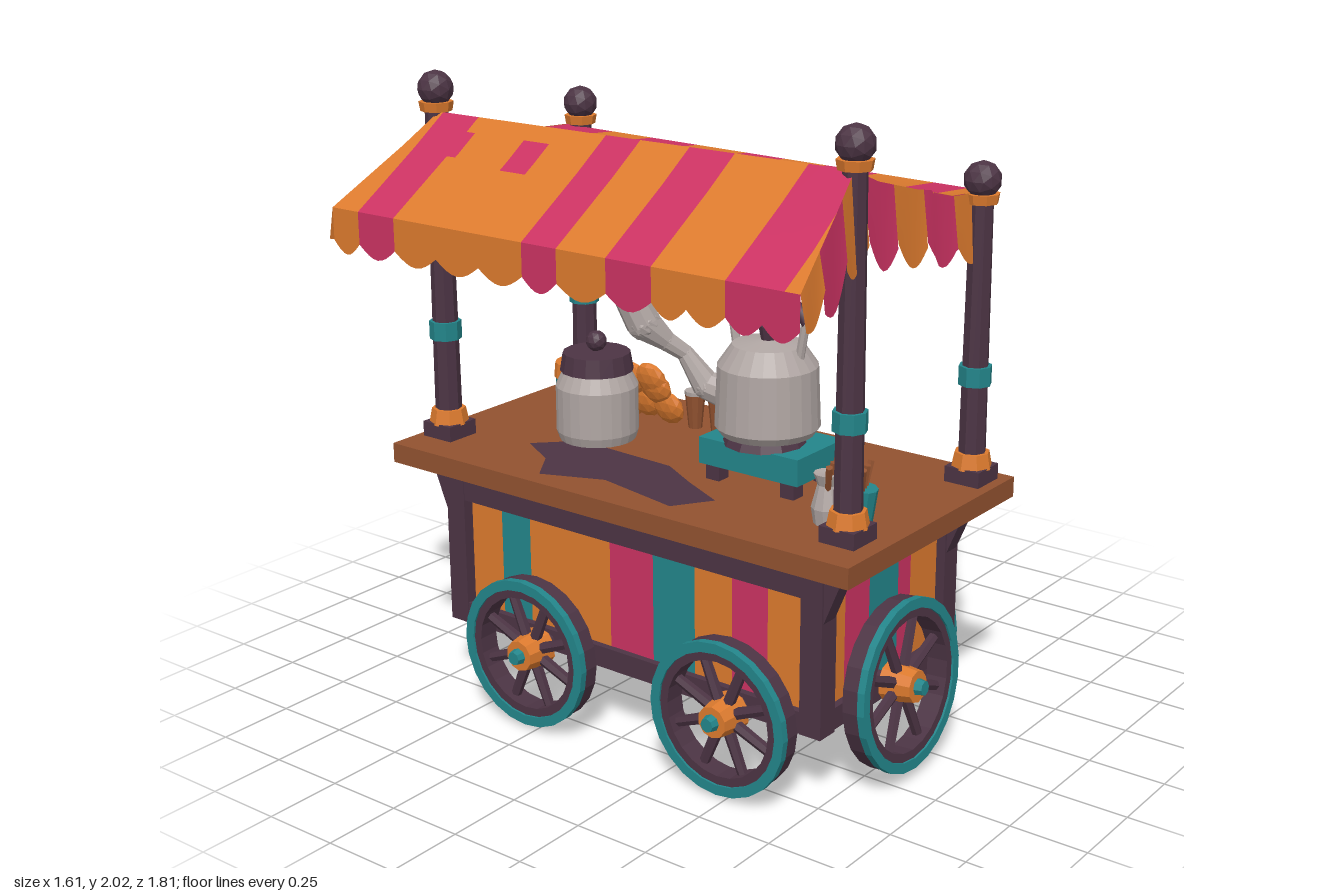
import * as THREE from 'three';

const mat = (name, color, side = THREE.FrontSide) => {
  const m = new THREE.MeshStandardMaterial({ color, side });
  m.name = name;
  return m;
};
const plum = mat('plum wood', 0x4c3444);
const wood = mat('brown wood', 0x925230);
const teal = mat('teal paint', 0x23858a);
const orange = mat('orange', 0xdc7a2e, THREE.DoubleSide);
const pink = mat('pink', 0xcb3262, THREE.DoubleSide);
const metal = mat('pale metal', 0xb0a6a3);

const V = (x, y, z) => new THREE.Vector3(x, y, z);
const flat = (g) => {
  const f = g.index ? g.toNonIndexed() : g;
  f.computeVertexNormals();
  return f;
};
function add(parent, name, geo, material, p = [0, 0, 0], r = [0, 0, 0]) {
  const m = new THREE.Mesh(geo, material);
  m.name = name;
  m.position.set(...p);
  m.rotation.set(...r);
  parent.add(m);
  return m;
}
const box = (w, h, d) => new THREE.BoxGeometry(w, h, d);
const cyl = (rt, rb, h, n = 12) => flat(new THREE.CylinderGeometry(rt, rb, h, n));
const lathe = (pts, n = 24) => flat(new THREE.LatheGeometry(pts.map((p) => new THREE.Vector2(...p)), n));
const ring = (ri, ro, h, n = 24) => lathe([[ri, -h], [ro, -h], [ro, h], [ri, h], [ri, -h]], n);
const blob = (r) => flat(new THREE.IcosahedronGeometry(r, 1));
function group(parent, name, p = [0, 0, 0], r = [0, 0, 0]) {
  const g = new THREE.Group();
  g.name = name;
  g.position.set(...p);
  g.rotation.set(...r);
  parent.add(g);
  return g;
}
// Round bar between two points
function bar(parent, name, a, b, ra, rb, material, n = 8) {
  const m = add(parent, name, cyl(rb, ra, a.distanceTo(b), n), material);
  m.position.copy(a).add(b).multiplyScalar(0.5);
  m.quaternion.setFromUnitVectors(V(0, 1, 0), b.clone().sub(a).normalize());
  return m;
}
// Open surface from rows of points
function sheet(rows) {
  const pos = [], idx = [], n = rows[0].length;
  rows.forEach((row) => row.forEach((p) => pos.push(p.x, p.y, p.z)));
  for (let i = 0; i < rows.length - 1; i++) for (let j = 0; j < n - 1; j++) {
    const a = i * n + j;
    idx.push(a, a + 1, a + n, a + 1, a + n + 1, a + n);
  }
  const g = new THREE.BufferGeometry();
  g.setAttribute('position', new THREE.Float32BufferAttribute(pos, 3));
  g.setIndex(idx);
  g.computeVertexNormals();
  return g;
}
// Linear lookup through [x, value] pairs
function lookup(table, x) {
  for (let i = 1; i < table.length; i++) {
    const [x0, v0] = table[i - 1], [x1, v1] = table[i];
    if (x <= x1 || i === table.length - 1) return v0 + (v1 - v0) * (x - x0) / (x1 - x0);
  }
}

// Spoked wheel whose outer face looks along +z
function wheel(parent, name, R, p, r) {
  const g = group(parent, name, p, r), lay = [Math.PI / 2, 0, 0];
  add(g, 'rim', ring(R - 0.055, R, 0.035), plum, [0, 0, 0], lay);
  add(g, 'tyre', ring(R - 0.028, R + 0.004, 0.012), teal, [0, 0, 0.03], lay);
  for (let i = 0; i < 8; i++) {
    const a = (i + 0.5) * Math.PI / 4, c = Math.cos(a), s = Math.sin(a);
    bar(g, 'spoke', V(c * 0.04, s * 0.04, 0), V(c * (R - 0.04), s * (R - 0.04), 0), 0.019, 0.016, plum, 6);
  }
  add(g, 'hub', cyl(0.05, 0.065, 0.1, 10), orange, [0, 0, 0.01], lay);
  add(g, 'hubCap', cyl(0.022, 0.028, 0.03, 8), teal, [0, 0, 0.07], lay);
  add(g, 'axle', cyl(0.025, 0.025, 0.1, 8), plum, [0, 0, -0.05], lay);
}

// Striped panel: boards run along local x, facing +z
function panel(parent, name, bounds, colours, p, r) {
  const g = group(parent, name, p, r);
  colours.forEach((c, i) => {
    const w = bounds[i + 1] - bounds[i];
    add(g, 'stripe', box(w, 0.39, 0.009), c, [bounds[i] + w / 2, 0.48, 0]);
  });
}

function buildCart(root) {
  const g = group(root, 'cart');
  add(g, 'core', box(0.68, 0.46, 1.38), wood, [-0.13, 0.48, 0.02]);
  add(g, 'counter', box(0.93, 0.065, 1.77), wood, [-0.115, 0.785, 0.005]);
  for (const y of [0.255, 0.7]) {
    const h = y < 0.5 ? 0.07 : 0.1;
    for (const x of [-0.475, 0.215]) add(g, 'sideRail', box(0.06, h, 1.42), plum, [x, y, 0.02]);
    for (const z of [0.72, -0.68]) add(g, 'endRail', box(0.74, h, 0.06), plum, [-0.13, y, z]);
  }
  for (const x of [-0.47, 0.21]) for (const s of [1, -1]) {
    add(g, 'cornerPost', box(0.075, 0.53, 0.075), plum, [x, 0.485, 0.02 + s * 0.7]);
    const tri = new THREE.Shape([[0, 0.75], [0, 0.58], [0.07, 0.75]].map((q) => new THREE.Vector2(...q)));
    const brace = new THREE.ExtrudeGeometry(tri, { depth: 0.06, bevelEnabled: false });
    add(g, 'bracket', brace, plum, [x + s * 0.03, 0, 0.02 + s * 0.735], [0, -s * Math.PI / 2, 0]);
  }
  const O = orange, T = teal, P = pink;
  panel(g, 'rightPanel', [-0.67, -0.52, -0.33, -0.2, 0, 0.15, 0.27, 0.42, 0.54, 0.63],
    [O, T, O, P, T, P, O, T, P], [0.218, 0, 0], [0, Math.PI / 2, 0]);
  panel(g, 'leftPanel', [-0.63, -0.5, -0.38, -0.2, -0.05, 0.12, 0.28, 0.42, 0.55, 0.67],
    [O, T, O, O, P, T, O, P, O], [-0.478, 0, 0], [0, -Math.PI / 2, 0]);
  panel(g, 'frontPanel', [-0.44, -0.34, -0.21, -0.05, 0.02, 0.18], [O, P, T, P, O], [0, 0, 0.722], [0, 0, 0]);
  panel(g, 'backPanel', [-0.18, -0.04, 0.07, 0.24, 0.34, 0.44], [O, T, O, T, P], [0, 0, -0.682], [0, Math.PI, 0]);
  for (const z of [0.47, -0.29]) {
    wheel(g, 'rightWheel', 0.24, [0.3, 0.255, z], [0, Math.PI / 2, 0]);
    wheel(g, 'leftWheel', 0.24, [-0.59, 0.25, z], [0, -Math.PI / 2, 0]);
  }
  wheel(g, 'frontWheel', 0.265, [-0.17, 0.295, 0.82], [-0.07, 0, 0]);
  // Dark stain on the counter
  const stain = new THREE.Shape([[-0.5, -0.2], [-0.38, -0.28], [-0.3, -0.12], [-0.22, 0.02], [-0.2, 0.4], [-0.32, 0.52],
    [-0.4, 0.38], [-0.52, 0.3], [-0.44, 0.1]].map((q) => new THREE.Vector2(...q)));
  add(g, 'counterStain', new THREE.ShapeGeometry(stain), plum, [0, 0.82, 0], [-Math.PI / 2, 0, 0]);
}

function buildPosts(root) {
  for (const [x, z, top, band] of [[-0.41, 0.775, 1.96, 1.18], [-0.41, -0.79, 1.96, 1.18], [0.24, 0.8, 1.76, 1.16], [0.295, -0.805, 1.82, 1.15]]) {
    const g = group(root, 'canopyPost', [x, 0, z]);
    add(g, 'shaft', cyl(0.036, 0.044, top - 0.82, 8), plum, [0, (top + 0.82) / 2, 0]);
    add(g, 'foot', box(0.12, 0.05, 0.12), plum, [0, 0.845, 0]);
    add(g, 'footCollar', cyl(0.055, 0.065, 0.05, 8), orange, [0, 0.89, 0]);
    add(g, 'band', cyl(0.052, 0.052, 0.06, 8), teal, [0, band, 0]);
    add(g, 'topCollar', cyl(0.055, 0.05, 0.03, 8), orange, [0, top - 0.055, 0]);
    add(g, 'finial', blob(0.058), plum, [0, top, 0]);
  }
}

function buildCanopy(root) {
  const g = group(root, 'canopy');
  const height = [[-0.8, 1.64], [-0.55, 1.8], [-0.42, 1.89], [-0.3, 1.84], [-0.1, 1.785], [0.1, 1.745], [0.28, 1.73]];
  const front = [[-0.8, 0.87], [-0.42, 0.78], [0.28, 0.78]], back = [[-0.8, -0.86], [-0.42, -0.77], [0.28, -0.85]];
  const at = (x, z, lift = 0) => V(x, lookup(height, x) + lift + (x > 0 ? -0.015 * z : 0), Math.max(lookup(back, x), Math.min(lookup(front, x), z)));
  const strip = (xs, z0, z1, colour, lift) => add(g, 'roofStripe',
    sheet([0, 0.25, 0.5, 0.75, 1].map((t) => xs.map((x) => at(x, z0 + (z1 - z0) * t, lift)))), colour);
  const leftZ = [0.9, 0.82, 0.63, 0.38, 0.22, 0.04, -0.09, -0.6, -0.75, -0.9];
  const rightZ = [0.9, 0.73, 0.61, 0.41, 0.22, 0.06, -0.09, -0.29, -0.48, -0.65, -0.9];
  const colourAt = (bounds, v) => (bounds.filter((b) => b > v).length % 2 ? orange : pink);
  for (const [bounds, xs] of [[leftZ, [-0.8, -0.67, -0.55, -0.42]], [rightZ, [-0.42, -0.3, -0.1, 0.1, 0.28]]])
    for (let i = 0; i < bounds.length - 1; i++) strip(xs, bounds[i], bounds[i + 1], i % 2 ? pink : orange, 0);
  strip([-0.59, -0.55, -0.48], -0.26, -0.36, pink, 0.005);
  strip([-0.57, -0.55, -0.48], -0.56, -0.62, pink, 0.005);

  // Scalloped valance along each edge
  const scallop = (edge, a, b, drop, out, colour) => {
    const rows = [0, 0.5, 1].map((k) => Array.from({ length: 9 }, (_, i) => {
      const t = i / 8, p = edge(a + (b - a) * t);
      p.y -= k * drop * (0.72 + 0.28 * Math.sin(Math.PI * t));
      return p.addScaledVector(out, k);
    }));
    add(g, 'valanceScallop', sheet(rows), colour);
  };
  const leftTabs = [0.87, 0.75, 0.63, 0.5, 0.38, 0.22, 0.04, -0.09, -0.26, -0.43, -0.6, -0.75, -0.86];
  const rightTabs = [0.78, ...rightZ.slice(1, -1), -0.85];
  for (let i = 1; i < leftTabs.length; i++) scallop((z) => at(-0.8, z), leftTabs[i - 1], leftTabs[i], 0.14, V(0, 0, 0),
    colourAt(leftZ, (leftTabs[i - 1] + leftTabs[i]) / 2));
  for (let i = 1; i < rightTabs.length; i++) scallop((z) => at(0.28, z), rightTabs[i - 1], rightTabs[i], 0.21, V(0.015, 0, 0),
    colourAt(rightZ, (rightTabs[i - 1] + rightTabs[i]) / 2));
  const endTabs = [-0.8, -0.67, -0.51, -0.37, -0.22, -0.06, 0.11, 0.28];
  for (const s of [1, -1]) for (let i = 1; i < endTabs.length; i++)
    scallop((x) => at(x, s), endTabs[i - 1], endTabs[i], [0.14, 0.23, 0.27, 0.25, 0.23, 0.21, 0.21][i - 1], V(0, 0, s * 0.02), i % 2 ? orange : pink);
}

function buildKettle(root) {
  const s = group(root, 'stove', [-0.12, 0, 0.3]);
  add(s, 'stoveBody', box(0.25, 0.085, 0.37), teal, [0, 0.91, 0]);
  for (const x of [-0.09, 0.09]) for (const z of [-0.14, 0.14]) add(s, 'stoveFoot', box(0.05, 0.06, 0.05), plum, [x, 0.845, z]);
  add(s, 'burner', cyl(0.11, 0.13, 0.04, 12), plum, [-0.035, 0.97, 0]);
  const k = group(root, 'kettle', [-0.155, 0, 0.31]);
  add(k, 'kettleBody', lathe([[0, 0.985], [0.145, 0.985], [0.163, 1.01], [0.155, 1.2], [0.11, 1.265], [0, 1.28]]), metal);
  add(k, 'lidKnob', cyl(0.03, 0.02, 0.05, 8), plum, [0, 1.295, 0]);
  for (const q of [1, -1]) bar(k, 'handleArm', V(0, 1.23, q * 0.115), V(0, 1.375, q * 0.14), 0.014, 0.014, metal);
  const grip = new THREE.CatmullRomCurve3([V(0, 1.35, 0.145), V(0, 1.395, 0.1), V(0, 1.4, 0), V(0, 1.395, -0.1), V(0, 1.35, -0.145)]);
  add(k, 'handleGrip', new THREE.TubeGeometry(grip, 16, 0.02, 8), plum);
  // Spout and the steam above it
  const joints = [[0.01, 1.07, -0.13, 0.055], [-0.03, 1.1, -0.21, 0.045], [-0.06, 1.2, -0.27, 0.027], [-0.1, 1.24, -0.31, 0.032],
    [-0.15, 1.3, -0.36, 0.055], [-0.175, 1.38, -0.39, 0.05], [-0.165, 1.48, -0.4, 0.025]];
  for (let i = 1; i < joints.length; i++) {
    const [ax, ay, az, ar] = joints[i - 1], [bx, by, bz, br] = joints[i];
    bar(k, i < 4 ? 'spout' : 'steam', V(ax, ay, az), V(bx, by, bz), ar, br, metal, 10);
    add(k, i < 4 ? 'spoutJoint' : 'steamPuff', blob(br), metal, [bx, by, bz]);
  }
}

function buildWares(root) {
  const pot = group(root, 'pot', [-0.13, 0, -0.39]);
  add(pot, 'potBody', lathe([[0, 0.82], [0.125, 0.82], [0.135, 0.85], [0.135, 1.0], [0.11, 1.05], [0, 1.05]]), metal);
  add(pot, 'potLid', cyl(0.11, 0.12, 0.06, 16), plum, [0, 1.08, 0]);
  add(pot, 'potKnob', blob(0.035), plum, [0, 1.145, 0]);
  const can = group(root, 'canister', [0.03, 0, -0.605]);
  add(can, 'canBody', cyl(0.08, 0.08, 0.13, 16), teal, [0, 0.885, 0]);
  add(can, 'canLid', cyl(0.08, 0.085, 0.05, 16), orange, [0, 0.975, 0]);
  // Leaning pile of round pastries
  for (const [y, z] of [[0.89, -0.26], [0.9, -0.35], [0.89, -0.42], [0.96, -0.29], [0.98, -0.38], [0.99, -0.3]])
    add(root, 'pastry', blob(0.062), orange, [0.09 - (y - 0.86) * 0.4, y, z], [0, 0, 0.3]).scale.x = 0.45;
  for (const z of [0.24, 0.13, 0.02, -0.1, -0.195]) {
    add(root, 'cup', cyl(0.034, 0.023, 0.115, 10), wood, [0.14, 0.875, z]);
    add(root, 'cupRim', cyl(0.036, 0.035, 0.014, 10), metal, [0.14, 0.939, z]);
  }
  add(root, 'tealJar', cyl(0.045, 0.04, 0.12, 10), teal, [-0.29, 0.88, 0.74], [0.12, 0, 0]);
  add(root, 'vase', lathe([[0, 0.82], [0.04, 0.82], [0.048, 0.87], [0.03, 0.94], [0.042, 0.975], [0, 0.97]], 10), metal, [-0.33, 0, 0.65]);
  for (const [x, z] of [[-0.29, 0.74], [-0.33, 0.65]]) for (const d of [-0.045, 0, 0.04])
    bar(root, 'stick', V(x, 0.88, z), V(x + d, 1.01, z + 0.02 - d / 3), 0.009, 0.011, wood, 6);
}

function buildBench(root) {
  const g = group(root, 'bench', [0.59, 0, -0.49], [0, 0.156, 0]);
  add(g, 'seat', box(0.275, 0.06, 0.8), wood, [0, 0.41, 0]);
  for (const s of [1, -1]) {
    for (const q of [1, -1]) {
      const top = V(q * 0.085, 0.39, s * 0.31), foot = V(q * 0.13, 0.01, s * 0.335);
      bar(g, 'leg', foot, top, 0.035, 0.035, plum, 8);
      bar(g, 'legFoot', V(q * 0.131, 0, s * 0.335), foot.clone().lerp(top, 0.09), 0.042, 0.04, orange, 8);
    }
    add(g, 'crossBar', box(0.23, 0.045, 0.035), teal, [0, 0.15, s * 0.325]);
  }
  add(g, 'longBar', box(0.045, 0.045, 0.64), teal, [0, 0.15, 0]);
}

export function createModel() {
  const root = new THREE.Group();
  root.name = 'teaCart';
  [buildCart, buildPosts, buildCanopy, buildKettle, buildWares, buildBench].forEach((build) => build(root));
  return root;
}
